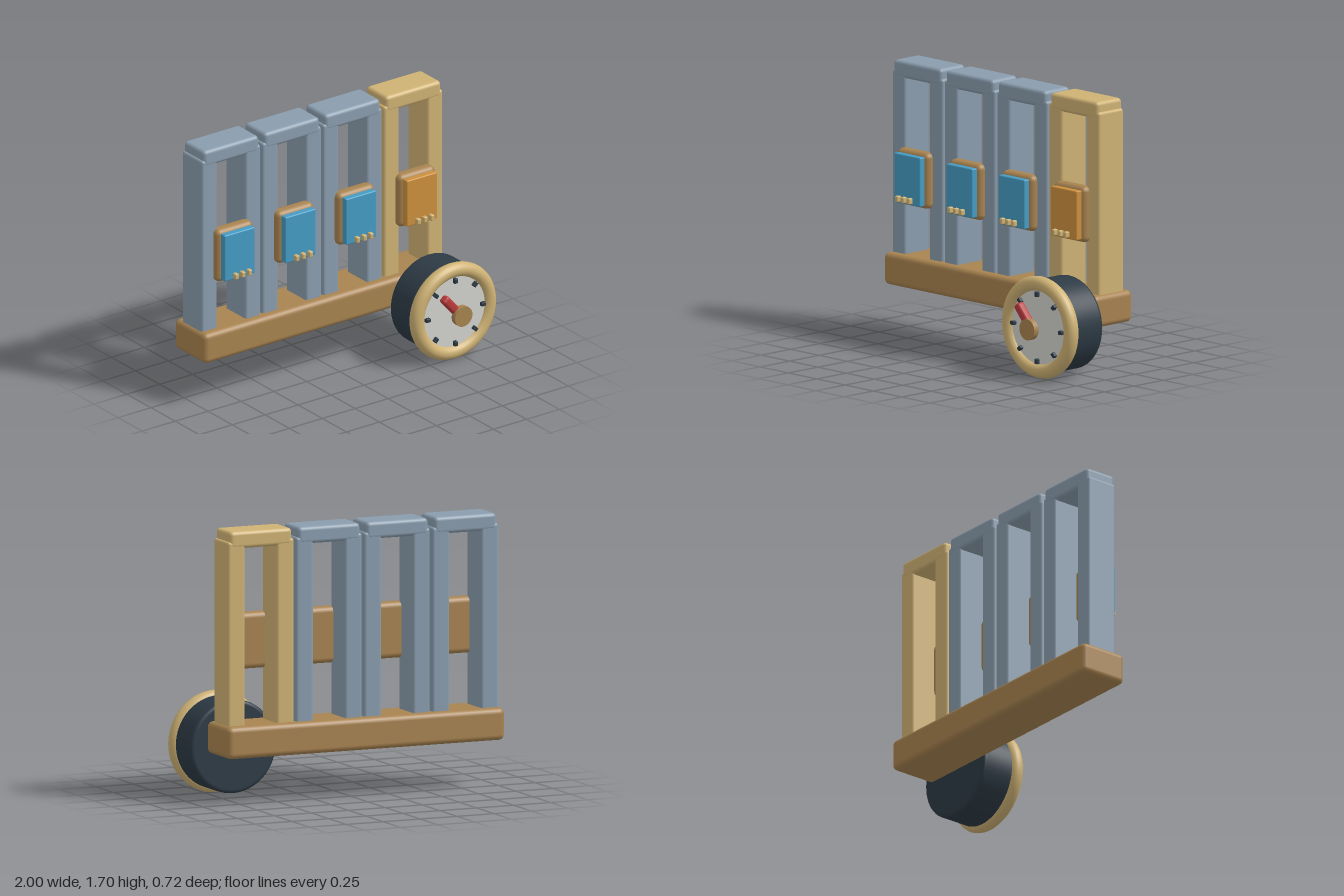
import * as THREE from 'three';
import { RoundedBoxGeometry } from 'three/addons/geometries/RoundedBoxGeometry.js';

const mat = (name, color) => {
  const m = new THREE.MeshStandardMaterial({ color });
  m.name = name;
  return m;
};

export function createModel() {
  const slate = mat('slate', 0x8a9dae);
  const tan = mat('tan wood', 0xcfb274);
  const brown = mat('brown wood', 0xa88350);
  const blue = mat('blue', 0x459cc4);
  const orange = mat('orange', 0xcc8f3c);
  const dark = mat('dark steel', 0x2d3a45);
  const pale = mat('pale dial', 0xd2d3ce);
  const red = mat('red', 0xb93a3c);

  const root = new THREE.Group();
  root.name = 'gateCounter';

  const add = (parent, name, geometry, material, x, y, z) => {
    const mesh = new THREE.Mesh(geometry, material);
    mesh.name = name;
    mesh.position.set(x, y, z);
    parent.add(mesh);
    return mesh;
  };
  const box = (w, h, d, r) => new RoundedBoxGeometry(w, h, d, 3, r);

  // Long base beam
  add(root, 'base', box(1.875, 0.2, 0.325, 0.035), brown, -0.0625, 0.4, -0.194);

  // Row of four frames, each carrying a small display
  const postGeo = box(0.118, 1.17, 0.212, 0.018);
  const capGeo = box(0.42, 0.107, 0.216, 0.025);
  const backingGeo = box(0.28, 0.35, 0.09, 0.035);
  const screenGeo = box(0.23, 0.308, 0.046, 0.008);
  const pipGeo = box(0.027, 0.038, 0.034, 0.007);
  for (let i = 0; i < 4; i++) {
    const last = i === 3;
    const frameMat = last ? tan : slate;
    const gate = new THREE.Group();
    gate.name = 'gate' + (i + 1);
    gate.position.x = -0.756 + i * 0.461;
    root.add(gate);

    for (const s of [-1, 1]) add(gate, 'post', postGeo, frameMat, s * 0.165, 1.055, -0.194);
    add(gate, 'cap', capGeo, frameMat, 0, 1.649, -0.194);
    add(gate, 'displayBacking', backingGeo, brown, 0, 0.992, -0.086);
    add(gate, 'screen', screenGeo, last ? orange : blue, 0, 0.991, -0.025);
    for (const s of [-1, 0, 1]) add(gate, 'pip', pipGeo, tan, s * 0.051, 0.87, 0.024);
  }

  // Round dial facing forward
  const dial = new THREE.Group();
  dial.name = 'dial';
  dial.position.set(0.678, 0.323, 0);
  root.add(dial);

  // Drum body, rounded at the back edge
  const profile = [new THREE.Vector2(0, -0.015), new THREE.Vector2(0.262, -0.015)];
  for (let i = 0; i <= 5; i++) {
    const a = (i / 5) * Math.PI / 2;
    profile.push(new THREE.Vector2(0.268 + 0.022 * Math.sin(a), 0.007 - 0.022 * Math.cos(a)));
  }
  profile.push(new THREE.Vector2(0.29, 0.01), new THREE.Vector2(0.29, 0.24));
  const drumGeo = new THREE.LatheGeometry(profile, 64);
  drumGeo.rotateX(Math.PI / 2);
  add(dial, 'drum', drumGeo, dark, 0, 0, 0);

  add(dial, 'rim', new THREE.TorusGeometry(0.272, 0.046, 20, 72), tan, 0, 0, 0.245);

  const disc = (r, depth, segments) =>
    new THREE.CylinderGeometry(r, r, depth, segments).rotateX(Math.PI / 2);
  add(dial, 'face', disc(0.24, 0.03, 64), pale, 0, 0, 0.247);

  // Eight tick marks around the face
  const tickGeo = box(0.024, 0.032, 0.028, 0.004);
  for (let i = 0; i < 8; i++) {
    const a = (i * Math.PI) / 4;
    const tick = add(dial, 'tick', tickGeo, dark, -Math.sin(a) * 0.21, Math.cos(a) * 0.21, 0.271);
    tick.rotation.z = a;
  }

  // Pointer and hub
  const angle = 0.72;
  const needle = add(dial, 'needle', box(0.056, 0.19, 0.055, 0.018), red,
    -Math.sin(angle) * 0.09, Math.cos(angle) * 0.09, 0.315);
  needle.rotation.z = angle;
  add(dial, 'hub', disc(0.066, 0.036, 40), brown, 0, 0, 0.341);

  return root;
}
